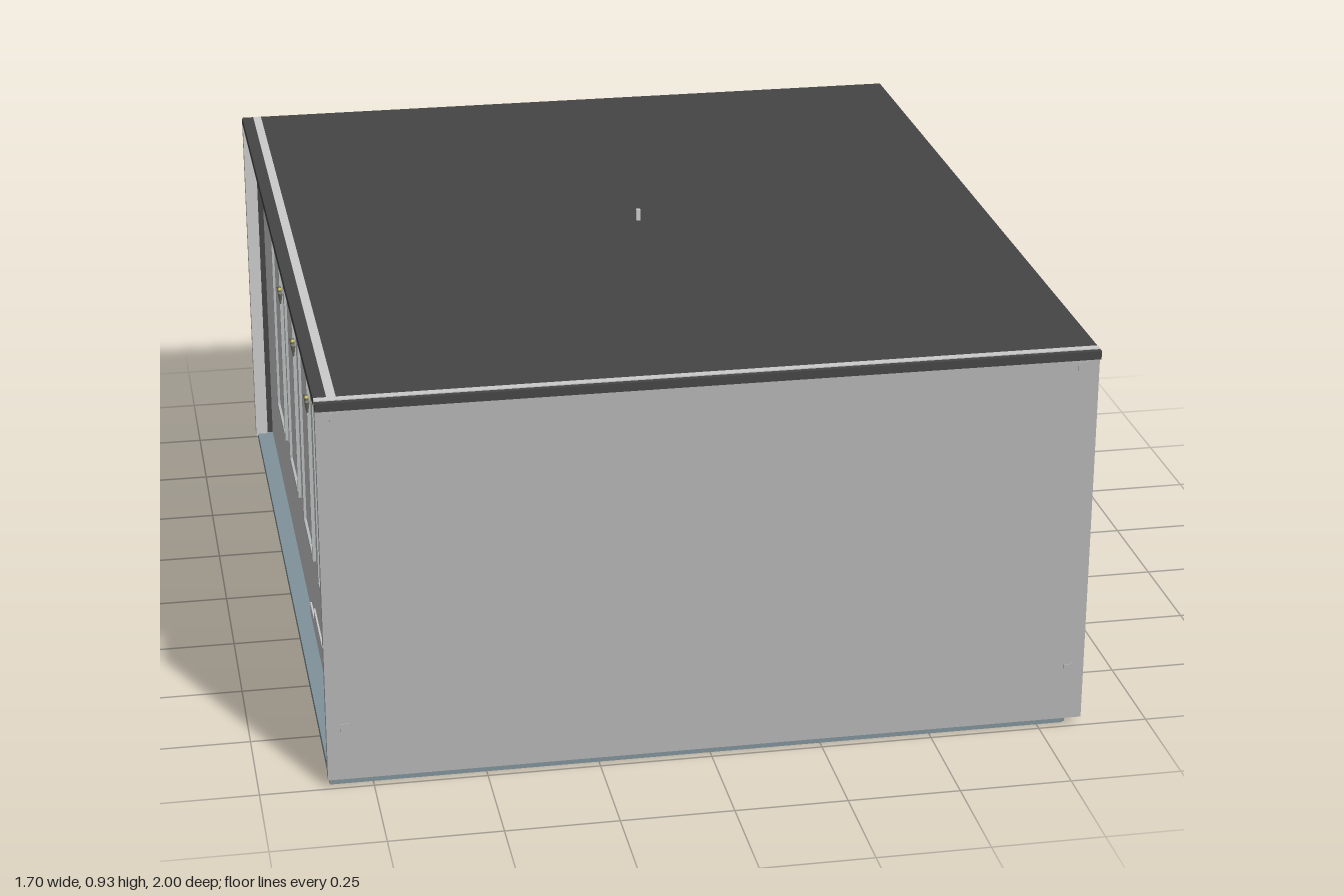
import * as THREE from 'three';

const mat = (color) => new THREE.MeshStandardMaterial({ color });
const M = {
  wall: mat(0xcccfcf), front: mat(0xb4b4b4), dark: mat(0x454545), plinth: mat(0x80929b),
  trim: mat(0xbcbcbc), frame: mat(0xb8bcbc), lamp: mat(0x77776c), bulb: mat(0xc9b84a),
};

// Box given by its min and max on each axis
function box(parent, name, material, [x0, x1], [y0, y1], [z0, z1]) {
  const mesh = new THREE.Mesh(new THREE.BoxGeometry(x1 - x0, y1 - y0, z1 - z0), material);
  mesh.position.set((x0 + x1) / 2, (y0 + y1) / 2, (z0 + z1) / 2);
  mesh.name = name;
  parent.add(mesh);
  return mesh;
}

// Span along x lying outside a side wall, from a to b, mirrored by side (+1 or -1)
const out = (side, a, b) => (side > 0 ? [a, b] : [-b, -a]);

// Thin rectangular frame standing on a side wall
function frame(parent, name, side, x, depth, [z0, z1], [y0, y1], w, openBottom) {
  const shape = new THREE.Shape();
  shape.moveTo(z0, y0).lineTo(z1, y0).lineTo(z1, y1).lineTo(z0, y1).closePath();
  const hole = new THREE.Path();
  const b = y0 + (openBottom ? 0.004 : w);
  hole.moveTo(z0 + w, b).lineTo(z0 + w, y1 - w).lineTo(z1 - w, y1 - w).lineTo(z1 - w, b).closePath();
  shape.holes.push(hole);
  const geo = new THREE.ExtrudeGeometry(shape, { depth, bevelEnabled: false });
  geo.rotateY(-Math.PI / 2); // shape x becomes z, depth runs to -x
  const mesh = new THREE.Mesh(geo, M.frame);
  mesh.position.x = side > 0 ? x + depth : -x;
  mesh.name = name;
  parent.add(mesh);
}

// Small wall lamp with three prongs and a bulb
function lamp(parent, side, z) {
  const g = new THREE.Group();
  g.name = 'wallLamp';
  for (const dz of [-0.02, 0, 0.02]) {
    const prong = new THREE.Mesh(new THREE.CylinderGeometry(0.006, 0.002, 0.03, 6), M.lamp);
    prong.position.set(side * 0.818, 0.652, z + dz);
    prong.rotation.x = dz * 10;
    prong.name = 'lampProng';
    g.add(prong);
  }
  const bulb = new THREE.Mesh(new THREE.SphereGeometry(0.005, 8, 6), M.bulb);
  bulb.position.set(side * 0.818, 0.667, z);
  bulb.name = 'lampBulb';
  g.add(bulb);
  parent.add(g);
}

export function createModel() {
  const model = new THREE.Group();
  model.name = 'building';

  // Floor slab, roof and end walls
  box(model, 'floorSlab', M.plinth, [-0.845, 0.81], [0, 0.02], [-0.985, 0.98]);
  box(model, 'roof', M.dark, [-0.85, 0.85], [0.886, 0.905], [-0.982, 1]);
  box(model, 'frontWall', M.front, [-0.85, 0.847], [0.02, 0.886], [0.975, 0.998]);
  box(model, 'backWall', M.dark, [-0.82, 0.81], [0.015, 0.886], [-1, -0.977]);
  box(model, 'backRoofTrim', M.dark, [-0.85, 0.81], [0.88, 0.896], [-1, -0.982]);
  box(model, 'backCornerPost', M.trim, [-0.85, -0.82], [0.015, 0.886], [-0.998, -0.97]);

  // Light strips let into the roof
  box(model, 'frontRoofStrip', M.trim, [-0.85, 0.85], [0.89, 0.907], [0.97, 0.988]);
  box(model, 'sideRoofStrip', M.trim, [-0.822, -0.802], [0.89, 0.906], [-0.98, 0.97]);

  // Roof aerial
  box(model, 'aerial', M.trim, [0.013, 0.023], [0.9, 0.932], [-0.02, -0.01]);

  // Both long sides: wall, eave beam, stepped plinth, windows and lamps
  const steps = [[0.16, 0.26, 0.05], [0.26, 0.48, 0.08], [0.48, 0.58, 0.11], [0.58, 0.975, 0.14]];
  const windows = {
    1: [[0.425, 0.65], [0.075, 0.3], [-0.305, -0.075]],
    '-1': [[-0.62, -0.39], [-0.26, -0.03], [0.11, 0.34], [0.47, 0.7]],
  };
  const lamps = { 1: [0.735, 0.38, 0.025], '-1': [0.735, 0.38, 0.025, -0.33] };
  for (const side of [1, -1]) {
    const group = new THREE.Group();
    group.name = side > 0 ? 'leftSide' : 'rightSide';
    box(group, 'sideWall', M.wall, out(side, 0.78, 0.806), [0.02, 0.886], [-0.977, 0.975]);
    box(group, 'eaveBeam', M.trim, out(side, 0.8, 0.83), [0.855, 0.886], [-0.975, 0.975]);
    for (const [z0, z1, h] of steps) {
      box(group, 'plinthStep', side > 0 ? M.plinth : M.wall,
        out(side, 0.78, side > 0 ? 0.816 : 0.81), [side > 0 ? 0 : 0.02, h], [z0, z1]);
    }
    for (const z of windows[side]) {
      frame(group, 'windowFrame', side, 0.806, 0.008, z, [0.24, 0.78], 0.012, false);
      box(group, 'windowPane', M.wall, out(side, 0.8, 0.808), [0.25, 0.77], [z[0] + 0.01, z[1] - 0.01]);
    }
    for (const z of lamps[side]) lamp(group, side, z);

    // Drain brackets on the front corners
    for (const y of [0.145, 0.872]) {
      box(group, 'cornerBracket', M.front, out(side, 0.8, 0.82), [y - 0.01, y + 0.01], [0.99, 1]);
    }
    model.add(group);
  }

  // Door and small post on the left side
  frame(model, 'doorFrame', 1, 0.806, 0.022, [-0.83, -0.53], [0.02, 0.615], 0.03, true);
  box(model, 'door', M.wall, [0.8, 0.812], [0.02, 0.59], [-0.805, -0.555]);
  box(model, 'plinthPost', M.trim, [0.806, 0.826], [0.08, 0.13], [0.472, 0.488]);

  return model;
}
